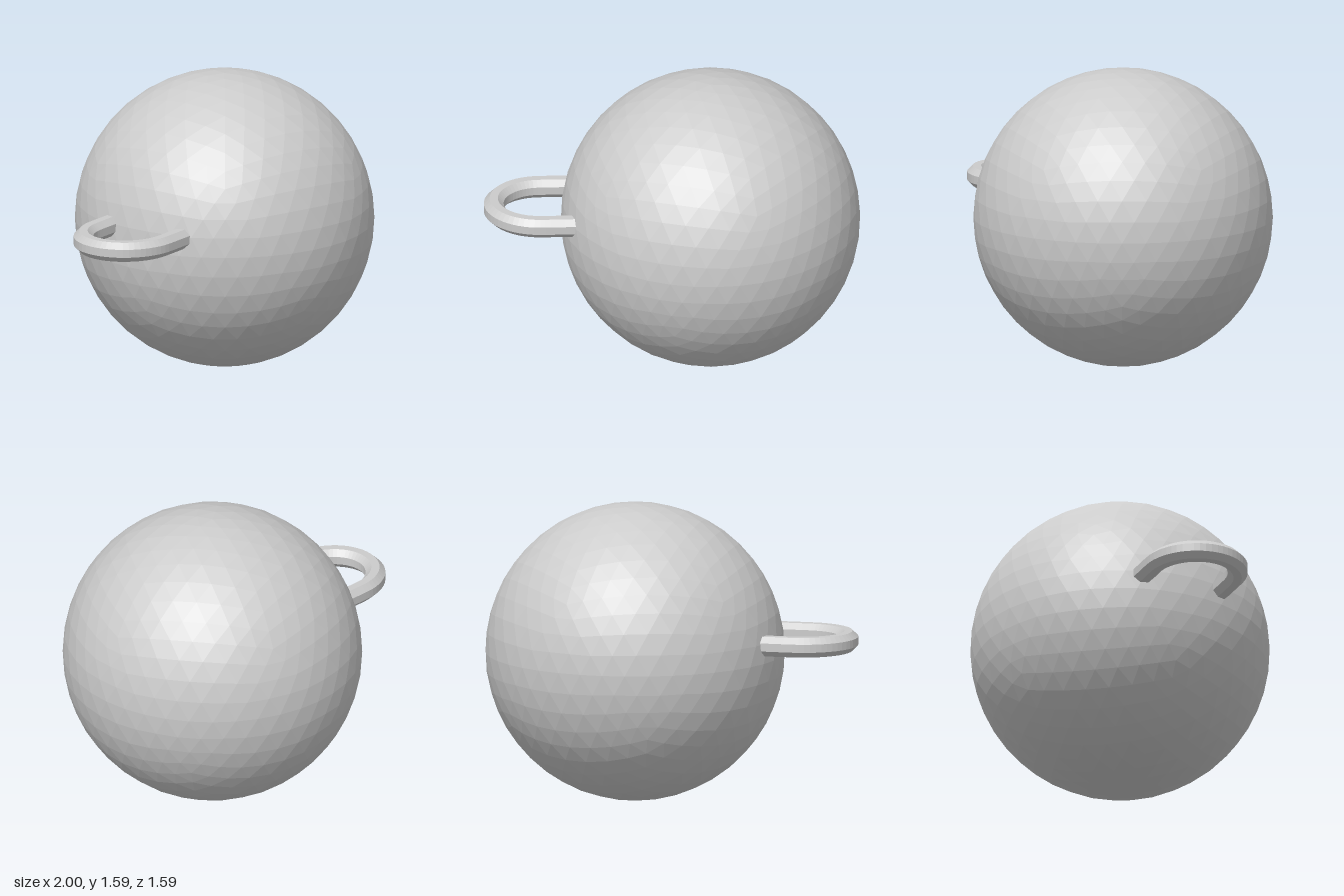
import * as THREE from 'three';

const material = new THREE.MeshStandardMaterial({ color: 0xcccccc, flatShading: true });

// Faceted ball with one corner of the icosahedron pointing straight up
function makeBall() {
  const geometry = new THREE.IcosahedronGeometry(0.795, 7);
  geometry.rotateZ(-Math.atan(2 / (1 + Math.sqrt(5))));
  const ball = new THREE.Mesh(geometry, material);
  ball.name = 'ball';
  ball.position.set(0.205, 0.8, 0);
  return ball;
}

// U-shaped loop: two straight legs joined by a half round, with an octagonal section
function makeHandle() {
  const bendX = -0.7, legX = -0.45, halfWidth = 0.227, reach = 0.247, arcSteps = 24;
  const points = [new THREE.Vector3(legX, 0, -halfWidth), new THREE.Vector3(-0.58, 0, -halfWidth)];
  for (let i = 0; i <= arcSteps; i++) {
    const a = (i / arcSteps) * Math.PI;
    points.push(new THREE.Vector3(bendX - reach * Math.sin(a), 0, -halfWidth * Math.cos(a)));
  }
  points.push(new THREE.Vector3(-0.58, 0, halfWidth), new THREE.Vector3(legX, 0, halfWidth));
  const path = new THREE.CatmullRomCurve3(points);

  const section = [];
  for (let i = 0; i < 8; i++) {
    const a = ((i + 0.5) / 8) * Math.PI * 2;
    section.push(new THREE.Vector2(0.057 * Math.cos(a), 0.057 * Math.sin(a)));
  }
  const geometry = new THREE.ExtrudeGeometry(new THREE.Shape(section), {
    steps: 48, extrudePath: path, bevelEnabled: false,
  });
  const handle = new THREE.Mesh(geometry, material);
  handle.name = 'handle';
  handle.position.set(0, 0.892, 0.018);
  return handle;
}

export function createModel() {
  const model = new THREE.Group();
  model.name = 'ballWithHandle';
  model.add(makeBall(), makeHandle());
  return model;
}
